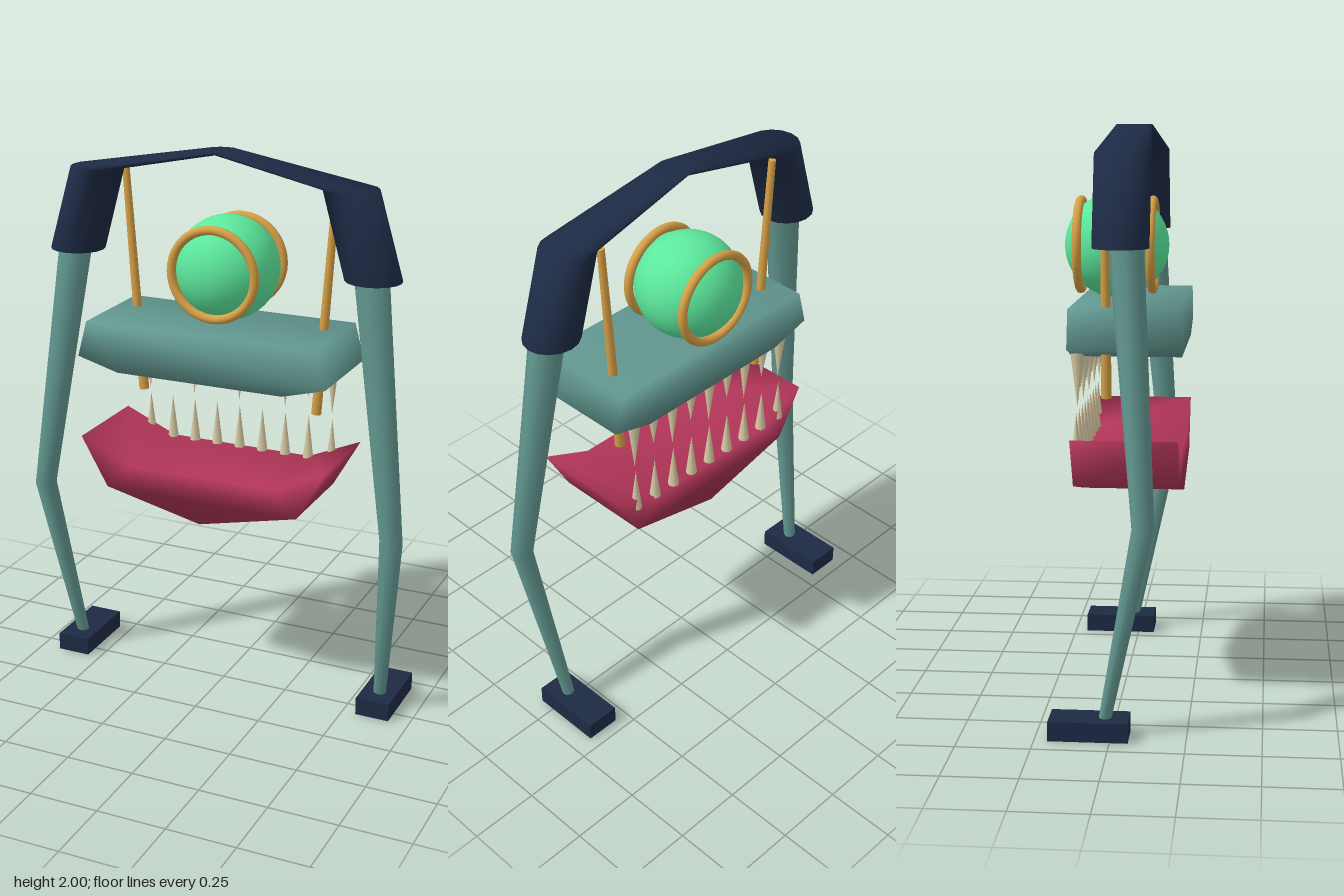
import * as THREE from 'three';
import { mergeVertices } from 'three/addons/utils/BufferGeometryUtils.js';

const mat = (color, side = THREE.FrontSide) => new THREE.MeshStandardMaterial({ color, side });
const teal = mat(0x629790, THREE.DoubleSide);
const navy = mat(0x1d2a44, THREE.DoubleSide);
const green = mat(0x5ce89c);
const brass = mat(0xd6a046);
const crimson = mat(0xb03558);
const ivory = mat(0xd8caa4);

function add(parent, name, geometry, material, x = 0, y = 0, z = 0) {
  const mesh = new THREE.Mesh(geometry, material);
  mesh.name = name;
  mesh.position.set(x, y, z);
  parent.add(mesh);
  return mesh;
}

// Skin through level rings, listed from bottom to top as [x, y, z, radiusX, radiusZ]
function loft(rings, sides) {
  const pos = [], index = [];
  rings.forEach(([x, y, z, rx, rz], r) => {
    for (let i = 0; i < sides; i++) {
      const a = (i / sides) * Math.PI * 2;
      pos.push(x + Math.cos(a) * rx, y, z + Math.sin(a) * rz);
      if (r === 0) continue;
      const j = (i + 1) % sides, lo = (r - 1) * sides, hi = r * sides;
      index.push(lo + i, hi + i, lo + j, lo + j, hi + i, hi + j);
    }
  });
  // End caps with their own vertices so the rims stay sharp
  [0, rings.length - 1].forEach((r) => {
    const start = pos.length / 3;
    for (let i = 0; i < sides * 3; i++) pos.push(pos[r * sides * 3 + i]);
    for (let i = 1; i < sides - 1; i++) {
      index.push(start, start + (r ? i + 1 : i), start + (r ? i : i + 1));
    }
  });
  const g = new THREE.BufferGeometry();
  g.setAttribute('position', new THREE.Float32BufferAttribute(pos, 3));
  g.setIndex(index);
  g.computeVertexNormals();
  return g;
}

// Softly shaded slab with a front outline, running from z0 to z1
function slab(points, z0, z1) {
  const shape = new THREE.Shape(points.map(([x, y]) => new THREE.Vector2(x, y)));
  let g = new THREE.ExtrudeGeometry(shape, { depth: z1 - z0, bevelEnabled: false });
  g.translate(0, 0, z0);
  g.deleteAttribute('normal');
  g.deleteAttribute('uv');
  g = mergeVertices(g);
  g.computeVertexNormals();
  return g;
}

export function createModel() {
  const model = new THREE.Group();
  model.name = 'walker';

  // Legs, feet, arch halves and hanging rods, mirrored
  for (const s of [1, -1]) {
    const side = new THREE.Group();
    side.name = s > 0 ? 'leftSide' : 'rightSide';
    model.add(side);

    add(side, 'leg', loft([
      [s * 0.612, 0.05, -0.022, 0.023, 0.021],
      [s * 0.678, 0.72, 0.11, 0.042, 0.037],
      [s * 0.557, 1.62, 0.045, 0.063, 0.058],
      [s * 0.535, 1.75, 0.035, 0.063, 0.058],
    ], 8), teal);

    add(side, 'archHalf', loft([
      [s * 0.557, 1.61, 0.027, 0.098, 0.093],
      [s * 0.47, 1.91, 0.027, 0.095, 0.093],
      [0, 2, 0.027, 0.064, 0.063],
    ], 16), navy);

    add(side, 'foot', new THREE.BoxGeometry(0.125, 0.066, 0.265), navy, s * 0.613, 0.033, -0.072);

    const rod = add(side, 'hangingRod', new THREE.CylinderGeometry(0.013, 0.018, 0.812, 12),
      brass, s * 0.366, 1.495, -0.04);
    rod.rotation.z = -s * 0.071;
  }

  // Eye with a ring at front and back
  const eye = new THREE.Group();
  eye.name = 'eye';
  eye.position.set(0, 1.583, -0.034);
  model.add(eye);
  add(eye, 'eyeball', new THREE.SphereGeometry(0.184, 32, 24), green);
  for (const z of [0.127, -0.127]) {
    add(eye, 'eyeRing', new THREE.TorusGeometry(0.156, 0.016, 12, 40), brass, 0, 0, z);
  }

  // Jaws
  add(model, 'upperJaw', slab([
    [-0.43, 1.4], [-0.465, 1.27], [-0.31, 1.228], [0.31, 1.228], [0.465, 1.27], [0.43, 1.4],
  ], -0.16, 0.213), teal);
  add(model, 'lowerJaw', slab([
    [-0.465, 0.967], [-0.365, 0.79], [0, 0.706], [0.365, 0.79], [0.465, 0.967],
    [0.27, 0.882], [-0.27, 0.882],
  ], -0.152, 0.207), crimson);

  // Teeth along the back edge, upper ones alternating long and short
  const teeth = new THREE.Group();
  teeth.name = 'teeth';
  model.add(teeth);
  for (let i = 0; i < 9; i++) {
    const x = (i - 4) * 0.09;
    const length = i % 2 ? 0.14 : 0.19;
    const upper = add(teeth, 'upperTooth', new THREE.ConeGeometry(0.023, length, 8),
      ivory, x, 1.25 - length / 2, -0.136);
    upper.rotation.x = Math.PI;
    add(teeth, 'lowerTooth', new THREE.ConeGeometry(0.02, 0.16, 8), ivory, x, 0.962, -0.14);
  }
  return model;
}
